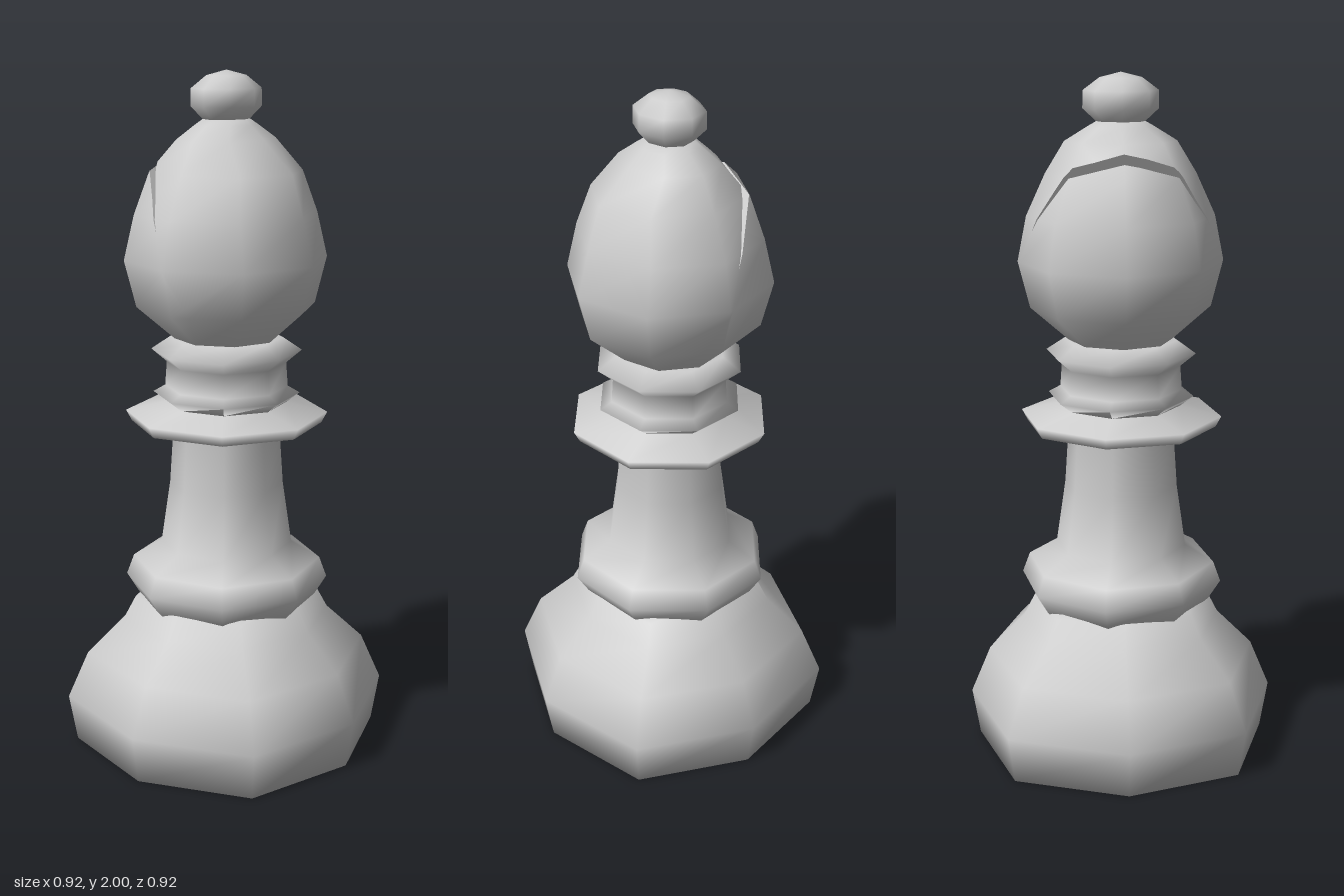
import * as THREE from 'three';

const SIDES = 8;

// Smooth eight-sided solid from rings [y, rx, rz]; closed by a centre point at each end.
function ringSolid(rings, { twist = 0, diagonal = 1 } = {}) {
  const pos = [], idx = [];
  for (const [y, rx, rz = rx] of rings) {
    for (let k = 0; k < SIDES; k++) {
      const a = (k / SIDES) * Math.PI * 2 + twist;
      const s = k % 2 ? diagonal : 1;
      pos.push(Math.sin(a) * rx * s, y, Math.cos(a) * rz * s);
    }
  }
  const last = rings.length - 1;
  const bottom = rings.length * SIDES, top = bottom + 1;
  pos.push(0, rings[0][0], 0, 0, rings[last][3] ?? rings[last][0], 0);
  for (let k = 0; k < SIDES; k++) {
    const n = (k + 1) % SIDES;
    for (let i = 0; i < last; i++) {
      const a = i * SIDES + k, b = i * SIDES + n;
      idx.push(a, b, b + SIDES, a, b + SIDES, a + SIDES);
    }
    idx.push(bottom, n, k, top, last * SIDES + k, last * SIDES + n);
  }
  const g = new THREE.BufferGeometry();
  g.setAttribute('position', new THREE.Float32BufferAttribute(pos, 3));
  g.setIndex(idx);
  g.computeVertexNormals();
  return g;
}

// Keep the part of a polygon (corners {p, n}) on the positive side of a plane.
function clip(poly, plane, cuts) {
  const out = [];
  poly.forEach((a, i) => {
    const b = poly[(i + 1) % poly.length];
    const da = plane.distanceToPoint(a.p), db = plane.distanceToPoint(b.p);
    if (da >= 0) out.push(a);
    if (da * db < 0) {
      const t = da / (da - db);
      const c = { p: a.p.clone().lerp(b.p, t), n: a.n.clone().lerp(b.n, t).normalize() };
      out.push(c);
      if (cuts) cuts.push(c.p);
    }
  });
  return out;
}

// Flat wall over the cut points, facing the given direction.
function wall(points, n) {
  const u = new THREE.Vector3(1, 0, 0), v = n.clone().cross(u);
  const c = new THREE.Vector3();
  points.forEach((p) => c.addScaledVector(p, 1 / points.length));
  const angle = (p) => Math.atan2(p.clone().sub(c).dot(v), p.clone().sub(c).dot(u));
  return [...points].sort((a, b) => angle(a) - angle(b)).map((p) => ({ p, n }));
}

// Cut a wedge, bounded by two planes facing away from it, out of a solid.
function cutWedge(geometry, planeA, planeB) {
  const P = geometry.attributes.position, N = geometry.attributes.normal;
  const idx = geometry.index.array, cutsA = [], cutsB = [], polys = [];
  const notA = planeA.clone().negate(), notB = planeB.clone().negate();
  for (let i = 0; i < idx.length; i += 3) {
    const tri = [0, 1, 2].map((j) => ({
      p: new THREE.Vector3().fromBufferAttribute(P, idx[i + j]),
      n: new THREE.Vector3().fromBufferAttribute(N, idx[i + j]),
    }));
    polys.push(clip(tri, planeA, cutsA));
    clip(tri, planeB, cutsB);
    polys.push(clip(clip(tri, notA), planeB));
  }
  polys.push(clip(wall(cutsA, notA.normal), notB));
  polys.push(clip(wall(cutsB, notB.normal), notA));
  const pos = [], nor = [];
  for (const poly of polys) {
    for (let i = 1; i + 1 < poly.length; i++) {
      for (const c of [poly[0], poly[i], poly[i + 1]]) {
        pos.push(...c.p.toArray());
        nor.push(...c.n.toArray());
      }
    }
  }
  const g = new THREE.BufferGeometry();
  g.setAttribute('position', new THREE.Float32BufferAttribute(pos, 3));
  g.setAttribute('normal', new THREE.Float32BufferAttribute(nor, 3));
  return g;
}

export function createModel() {
  const group = new THREE.Group();
  const grey = new THREE.MeshStandardMaterial({ color: 0xcccccc });
  grey.name = 'light grey';
  const add = (name, geometry) => {
    const mesh = new THREE.Mesh(geometry, grey);
    mesh.name = name;
    group.add(mesh);
  };
  const twist = -0.2;

  // Wide rounded foot
  add('base', ringSolid([
    [0, 0.435], [0.14, 0.458], [0.28, 0.4], [0.385, 0.295], [0.45, 0.262], [0.47, 0.2],
  ], { diagonal: 1.06 }));

  // Lower ring, slender stem, wide disc and the two small collar rings
  add('stem', ringSolid([
    [0.42, 0.24], [0.45, 0.268], [0.505, 0.302], [0.565, 0.28], [0.615, 0.195],
    [0.8, 0.168], [0.95, 0.158], [0.965, 0.17], [0.985, 0.28], [1.017, 0.297],
    [1.045, 0.175], [1.075, 0.215], [1.095, 0.18], [1.165, 0.175],
    [1.203, 0.22], [1.24, 0.165],
  ], { twist }));

  // Egg-shaped head with a slanted slot on the back
  const slot = new THREE.Vector3(0, 1.565, -0.055);
  const plane = (y, z) => new THREE.Plane().setFromNormalAndCoplanarPoint(
    new THREE.Vector3(0, y, z).normalize(), slot);
  add('head', cutWedge(ringSolid([
    [1.2, 0.13], [1.238, 0.15], [1.335, 0.262], [1.47, 0.296], [1.6, 0.27, 0.262],
    [1.72, 0.215, 0.225], [1.81, 0.16, 0.13], [1.85, 0.095, 0.085], [1.87, 0.06],
  ]), plane(0.098, 0.217), plane(-0.12, -0.185)));

  // Small finial
  add('knob', ringSolid([
    [1.85, 0.05], [1.865, 0.07, 0.065], [1.9, 0.108, 0.097], [1.95, 0.107, 0.096],
    [1.985, 0.06, 0.055, 2],
  ]));
  return group;
}
